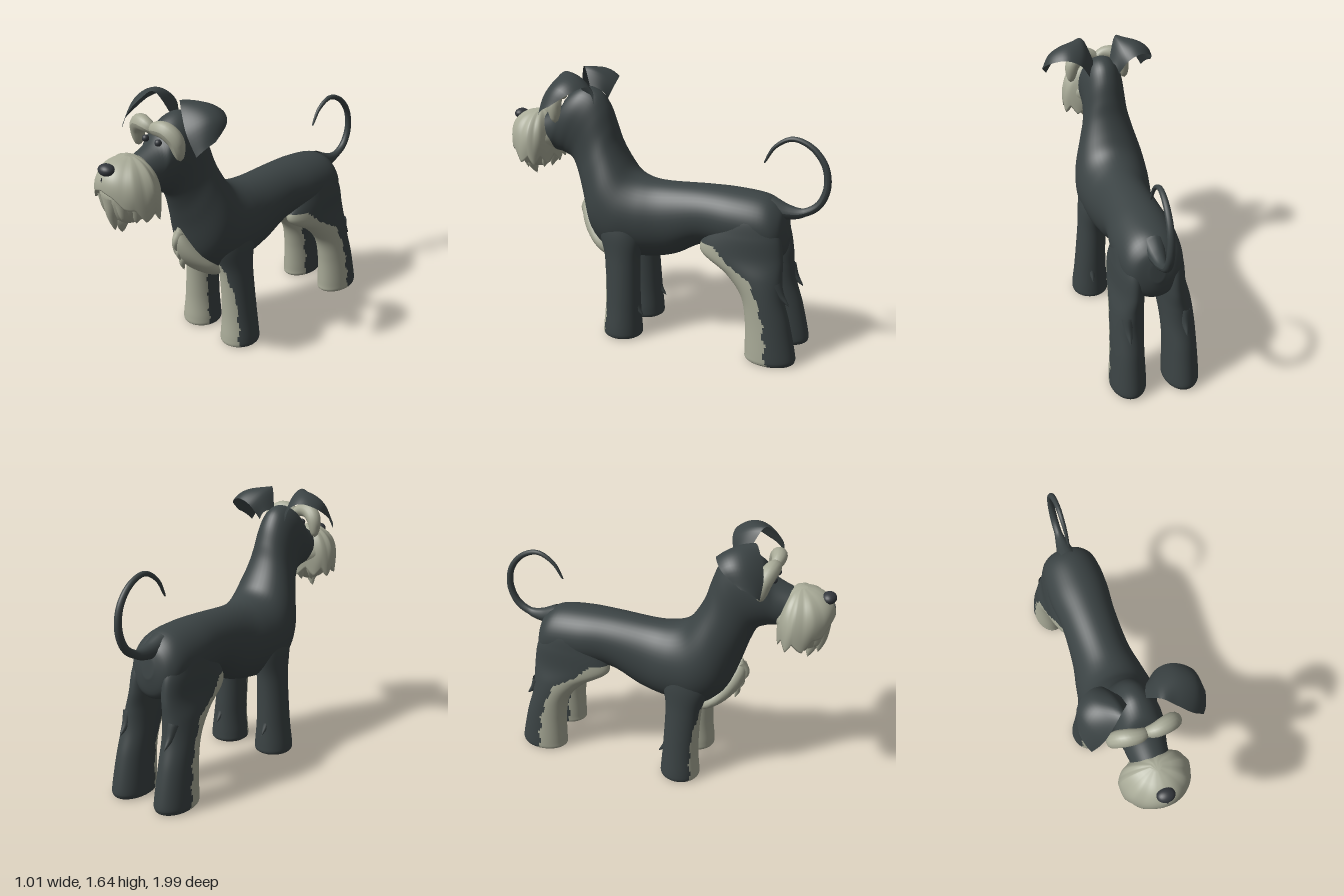
import * as THREE from 'three';

const coat = new THREE.MeshStandardMaterial({ color: 0x3b4344, side: THREE.DoubleSide });
coat.name = 'charcoal coat';
const cream = new THREE.MeshStandardMaterial({ color: 0xa9ab98 });
cream.name = 'cream fur';
const black = new THREE.MeshStandardMaterial({ color: 0x33373c });
black.name = 'nose and eyes';

// Smoothly interpolates rows of numbers
function spline(rows, steps) {
  const out = [], last = rows.length - 1;
  for (let i = 0; i < last; i++) {
    const [a, b, c, d] = [rows[Math.max(i - 1, 0)], rows[i], rows[i + 1], rows[Math.min(i + 2, last)]];
    for (let k = 0; k < steps; k++) {
      const t = k / steps;
      out.push(b.map((v, n) => v + 0.5 * t * (c[n] - a[n] + t * (2 * a[n] - 5 * v + 4 * c[n] - d[n]
        + t * (3 * (v - c[n]) + d[n] - a[n])))));
    }
  }
  out.push(rows[last]);
  return out;
}

// Closed skin over rings; point(row, angle) places a vertex, isCream(row, angle) picks its colour
function loft(rows, seg, point, isCream = () => false) {
  const pos = [], faces = [[], []];
  for (const row of rows)
    for (let j = 0; j < seg; j++) pos.push(...point(row, (j / seg) * 2 * Math.PI));
  for (let i = 0; i < rows.length - 1; i++)
    for (let j = 0; j < seg; j++) {
      const k = (j + 1) % seg, a = i * seg + j, b = i * seg + k, c = a + seg, d = b + seg;
      let angle = ((j + 0.5) / seg) * 2 * Math.PI;
      if (angle > Math.PI) angle -= 2 * Math.PI;
      faces[isCream(rows[i], angle) ? 1 : 0].push(a, b, c, b, d, c);
    }
  const end = (rows.length - 1) * seg;
  for (let j = 1; j < seg - 1; j++) faces[0].push(0, j + 1, j, end, end + j, end + j + 1);
  const g = new THREE.BufferGeometry();
  g.setAttribute('position', new THREE.Float32BufferAttribute(pos, 3));
  g.setIndex([...faces[0], ...faces[1]]);
  g.addGroup(0, faces[0].length, 0);
  g.addGroup(faces[0].length, faces[1].length, 1);
  g.computeVertexNormals();
  return g;
}

// Tube whose radius follows a rule along its path
function taperTube(points, radius, seg = 24, sides = 14) {
  const path = new THREE.CatmullRomCurve3(points.map(p => new THREE.Vector3(...p)));
  const g = new THREE.TubeGeometry(path, seg, 1, sides, false);
  const p = g.attributes.position, v = new THREE.Vector3();
  for (let i = 0; i < p.count; i++) {
    const t = Math.floor(i / (sides + 1)) / seg, c = path.getPointAt(t);
    v.fromBufferAttribute(p, i).sub(c).multiplyScalar(radius(t)).add(c);
    p.setXYZ(i, v.x, v.y, v.z);
  }
  g.computeVertexNormals();
  return g;
}

const zigzag = t => Math.abs((t % 1) - 0.5) * 2;
// Horizontal ring: [y, centre x, centre z, radius x, radius z]
const flatRing = ([y, x, z, rx, rz], a) => [x + rx * Math.sin(a), y, z + rz * Math.cos(a)];
// Upright ring: [top z, top y, bottom z, bottom y, half width]
const uprightRing = ([tz, ty, bz, by, w], a) => {
  const c = Math.cos(a) / 2;
  return [-w * Math.sin(a), (ty + by) / 2 + (ty - by) * c, (tz + bz) / 2 + (tz - bz) * c];
};

export function createModel() {
  const model = new THREE.Group();
  model.name = 'dog';
  const add = (name, geometry, material) => {
    const m = new THREE.Mesh(geometry, material);
    m.name = name;
    model.add(m);
    return m;
  };
  // Pointed lock of fur, thick at its root
  const lock = (name, points, r, material) =>
    add(name, taperTube(points, t => r * Math.pow(1 - t, 0.75) + 0.0005, 10, 10), material);
  const ball = (name, x, y, z, rx, ry, rz, material) => {
    const m = add(name, new THREE.SphereGeometry(1, 24, 16), material);
    m.position.set(x, y, z);
    m.scale.set(rx, ry, rz);
  };

  // Trunk, neck and skull in one skin
  const trunk = [
    [-0.80, 0.86, -0.82, 0.74, 0.04], [-0.77, 0.92, -0.80, 0.63, 0.13], [-0.68, 0.98, -0.72, 0.60, 0.178],
    [-0.50, 1.00, -0.50, 0.62, 0.19], [-0.30, 1.00, -0.30, 0.63, 0.175], [-0.05, 0.99, -0.10, 0.53, 0.185],
    [0.08, 1.00, 0.10, 0.49, 0.215], [0.17, 1.04, 0.30, 0.49, 0.235], [0.23, 1.12, 0.45, 0.62, 0.22],
    [0.28, 1.22, 0.52, 0.85, 0.175], [0.31, 1.32, 0.56, 0.98, 0.145], [0.35, 1.43, 0.60, 1.07, 0.135],
    [0.41, 1.51, 0.65, 1.10, 0.135], [0.50, 1.54, 0.68, 1.11, 0.135], [0.60, 1.50, 0.71, 1.115, 0.125],
    [0.67, 1.41, 0.75, 1.12, 0.115], [0.80, 1.35, 0.80, 1.13, 0.10]];
  add('body and head', loft(spline(trunk, 6), 48, uprightRing), [coat, cream]);

  // Chest tuft
  const bib = [[0.48, 0, 0.30, 0.06, 0.03], [0.495, 0, 0.315, 0.125, 0.065], [0.56, 0, 0.37, 0.145, 0.09],
    [0.65, 0, 0.44, 0.11, 0.085], [0.75, 0, 0.493, 0.058, 0.058], [0.83, 0, 0.515, 0.01, 0.01]];
  add('chest tuft', loft(spline(bib, 5), 32, flatRing, () => true), [cream, cream]);
  for (const y of [0.72, 0.65, 0.58])
    lock('chest lock', [[0, y + 0.08, 0.31 + y * 0.28], [0, y + 0.02, 0.29 + y * 0.36], [0, y - 0.04, 0.27 + y * 0.37]], 0.032, cream);

  // Tail
  add('tail', taperTube([[0, 0.91, -0.70], [0, 0.89, -0.80], [0, 0.895, -0.89], [0, 0.95, -0.98], [0, 1.06, -1.025],
    [0, 1.19, -1.005], [0, 1.29, -0.92], [0, 1.325, -0.81], [0, 1.27, -0.71], [0, 1.17, -0.65]],
  t => 0.004 + 0.023 * Math.sqrt(1 - t) + 0.04 * Math.max(0, 1 - t * 5), 60), coat);

  // Moustache: a dome with a ragged rim, arched over the mouth
  const domeRows = [];
  for (let i = 0; i <= 22; i++) domeRows.push([0.01 + i * 0.045, 1]);
  domeRows.push([0.99, 0.93], [0.9, 0.75], [0.8, 0.4]);
  add('moustache', loft(domeRows, 96, ([t, inset], angle) => {
    const a = -angle, front = Math.cos(a), side = Math.abs(Math.sin(a));
    const drop = front > 0 ? Math.pow(side, 1.5) : 1;
    const rim = 1.225 - 0.125 * drop - 0.06 * drop * zigzag(angle * 10 / (2 * Math.PI));
    const r = Math.sqrt(1 - Math.pow(1 - t, 2.5)) * inset * (1 - 0.1 * t * t * drop);
    return [0.22 * r * Math.sin(a), 1.375 + (rim - 1.375) * t, 0.835 + (front > 0 ? 0.2 : 0.13) * r * front];
  }, () => true), [cream, cream]);

  // Chin beard with hanging locks
  const chin = [[1.0, 0, 0.87, 0.03, 0.03], [1.03, 0, 0.87, 0.095, 0.085], [1.10, 0, 0.86, 0.15, 0.13],
    [1.19, 0, 0.85, 0.175, 0.155], [1.26, 0, 0.84, 0.14, 0.12]];
  add('chin beard', loft(spline(chin, 5), 40, flatRing, () => true), [cream, cream]);
  for (let i = 0; i < 10; i++) {
    const a = (i / 10) * 2 * Math.PI, s = Math.sin(a), c = Math.cos(a);
    const tip = 0.97 + 0.06 * Math.abs(s) + 0.03 * (i % 2);
    lock('beard lock', [[0.12 * s, 1.17, 0.86 + 0.1 * c], [0.125 * s, 1.08, 0.865 + 0.105 * c],
      [0.115 * s, tip, 0.87 + 0.09 * c]], 0.06, cream);
  }
  lock('beard tip', [[0, 1.12, 0.91], [0.01, 1.03, 0.92], [-0.015, 0.935, 0.905]], 0.07, cream);

  // Nose
  ball('nose', 0, 1.33, 0.99, 0.052, 0.033, 0.042, black);
  ball('nose groove', 0, 1.275, 1.024, 0.004, 0.02, 0.006, black);

  for (const s of [-1, 1]) {
    const side = s > 0 ? 'left' : 'right';
    const m = pts => pts.map(([x, y, z]) => [x * s, y, z]);

    // Eye and bushy brow
    ball(side + ' eye', 0.054 * s, 1.413, 0.683, 0.02, 0.02, 0.02, black);
    add(side + ' brow', taperTube(m([[0.0, 1.47, 0.67], [0.05, 1.492, 0.68], [0.11, 1.49, 0.67], [0.16, 1.445, 0.65],
      [0.18, 1.33, 0.635]]), t => 0.048 * Math.pow(Math.sin(Math.PI * (0.08 + 0.92 * t)), 0.45) + 0.0005), cream);

    // Folded ear: each row holds its back, middle and front point; the right one hangs closer
    const ear = spline([
      [0.10, 1.45, 0.41, 0.08, 1.50, 0.44, 0.05, 1.50, 0.50], [0.16, 1.54, 0.38, 0.13, 1.61, 0.47, 0.11, 1.64, 0.57],
      [0.25, 1.575, 0.39, 0.23, 1.63, 0.50, 0.18, 1.60, 0.62], [0.345, 1.54, 0.45, 0.325, 1.57, 0.55, 0.26, 1.51, 0.66],
      [0.375, 1.47, 0.56, 0.36, 1.44, 0.62, 0.335, 1.40, 0.66]], 6);
    const flare = s > 0 ? 1 : -0.89;
    const earGeo = new THREE.PlaneGeometry(1, 1, 12, ear.length - 1), p = earGeo.attributes.position;
    for (let i = 0; i < p.count; i++) {
      const row = ear[Math.floor(i / 13)], t = (i % 13) / 12;
      const w = [(1 - t) * (1 - 2 * t), 4 * t * (1 - t), t * (2 * t - 1)];
      const [x, y, z] = [0, 1, 2].map(n => w[0] * row[n] + w[1] * row[n + 3] + w[2] * row[n + 6]);
      p.setXYZ(i, x * flare, y, z);
    }
    earGeo.computeVertexNormals();
    add(side + ' ear', earGeo, coat);

    // Legs, with cream fronts and ragged colour edges
    const leg = (name, rows, isCream) => add(side + ' ' + name,
      loft(spline(rows.map(([y, x, ...r]) => [y, x * s, ...r]), 10), 72, flatRing,
        (row, a) => isCream(row[0], a * s)), [coat, cream]);
    leg('front leg', [[0, 0.175, 0.19, 0.105, 0.11], [0.015, 0.175, 0.19, 0.118, 0.125], [0.06, 0.175, 0.19, 0.118, 0.124],
      [0.22, 0.17, 0.19, 0.103, 0.113], [0.5, 0.152, 0.20, 0.092, 0.115], [0.68, 0.135, 0.21, 0.095, 0.15],
      [0.85, 0.105, 0.21, 0.085, 0.13], [0.97, 0.09, 0.21, 0.02, 0.04]],
    (y, o) => y < 0.58 && o > -1.28 + 0.12 * zigzag(y * 9)
      && o < Math.min(0.8 - 0.2 * y, (0.58 - y) * 3) + 0.15 * zigzag(y * 8) - 0.08);
    leg('hind leg', [[0, 0.16, -0.775, 0.095, 0.14], [0.015, 0.16, -0.775, 0.106, 0.153], [0.06, 0.16, -0.775, 0.107, 0.153],
      [0.25, 0.157, -0.75, 0.099, 0.135], [0.4, 0.15, -0.71, 0.098, 0.13], [0.52, 0.138, -0.65, 0.098, 0.175],
      [0.63, 0.12, -0.565, 0.095, 0.255], [0.76, 0.11, -0.575, 0.09, 0.22], [0.88, 0.09, -0.58, 0.08, 0.15],
      [0.96, 0.07, -0.58, 0.02, 0.04]],
    (y, o) => y < 0.68 && o > -1.05 - 0.15 * zigzag(y * 7)
      && o < 1.48 - Math.max(0, y - 0.5) * 3 + 0.18 * zigzag(y * 8) * (1 - y));

    // Feathering behind the legs
    const feather = (x, y, z, len) => lock(side + ' leg feather',
      m([[x, y + len, z + 0.07], [x, y + len * 0.45, z + 0.035], [x, y, z - 0.015]]), 0.035, coat);
    feather(0.165, 0.37, -0.865, 0.13);
    feather(0.215, 0.12, -0.845, 0.16);
    feather(0.18, 0.14, 0.06, 0.14);
  }

  // The dog stands turned slightly to its right
  model.rotation.y = -0.322;
  const root = new THREE.Group();
  root.name = 'terrier';
  root.add(model);
  return root;
}
